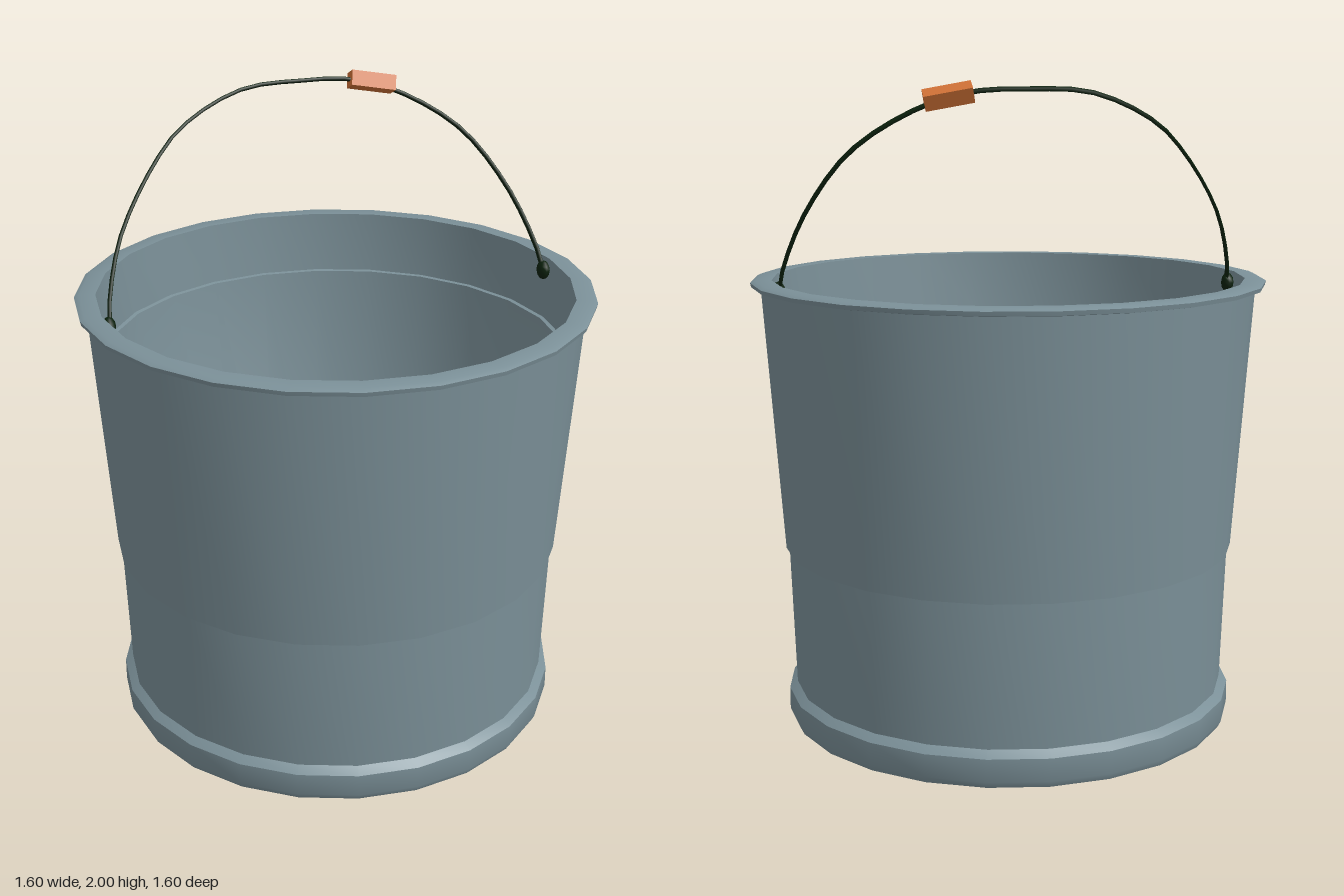
import * as THREE from 'three';
import { toCreasedNormals } from 'three/addons/utils/BufferGeometryUtils.js';

function material(name, color) {
  const m = new THREE.MeshStandardMaterial({ color });
  m.name = name;
  return m;
}

export function createModel() {
  const metal = material('bluish grey metal', 0x7b9098);
  const wire = material('dark green wire', 0x0b200c);
  const wood = material('orange wood', 0xcf7136);

  const model = new THREE.Group();
  model.name = 'bucket';
  const add = (parent, name, geometry, mat) => {
    const mesh = new THREE.Mesh(geometry, mat);
    mesh.name = name;
    parent.add(mesh);
    return mesh;
  };

  // Pail: one closed profile, up the outside, over the rim and down the inside
  const profile = [
    [0, 0], [0.7, 0], [0.71, 0.02], [0.71, 0.09], [0.685, 0.11],
    [0.7, 0.55], [0.71, 0.552], [0.768, 1.375],
    [0.797, 1.38], [0.8, 1.393], [0.785, 1.4], [0.735, 1.4],
    [0.725, 1.2], [0.712, 1.198], [0.63, 0.2], [0.59, 0.12], [0.52, 0.08], [0, 0.07],
  ].map(([r, y]) => new THREE.Vector2(r, y));
  add(model, 'pail', toCreasedNormals(new THREE.LatheGeometry(profile, 24), 0.55), metal);

  // Handle leans backwards about its two eyelets
  const lean = Math.atan(0.48);
  const handle = new THREE.Group();
  handle.name = 'handle';
  handle.position.y = 1.37;
  handle.rotation.x = -lean;
  model.add(handle);

  const path = [
    [-0.712, 1.37], [-0.7, 1.44], [-0.64, 1.6], [-0.51, 1.78], [-0.4, 1.88], [-0.2, 1.965],
    [0, 1.975], [0.15, 1.968], [0.3, 1.925], [0.5, 1.8], [0.63, 1.62], [0.7, 1.44], [0.712, 1.37],
  ].map(([x, y]) => new THREE.Vector3(x, (y - 1.37) / Math.cos(lean), 0));
  const bail = new THREE.TubeGeometry(new THREE.CatmullRomCurve3(path), 32, 0.006, 6);
  bail.scale(1, 1, 2.1);
  add(handle, 'wire', bail, wire);

  // Grip around the wire
  const grip = add(handle, 'grip', new THREE.BoxGeometry(0.145, 0.048, 0.05), wood);
  grip.position.set(0.225, 0.585 / Math.cos(lean), 0);
  grip.rotation.z = -0.2;

  // Eyelets inside the rim
  for (const side of [-1, 1]) {
    const eyelet = add(model, side > 0 ? 'leftEyelet' : 'rightEyelet', new THREE.SphereGeometry(0.026, 8, 6), wire);
    eyelet.position.set(side * 0.714, 1.365, 0);
    eyelet.scale.set(0.8, 1.2, 1);
  }
  return model;
}
